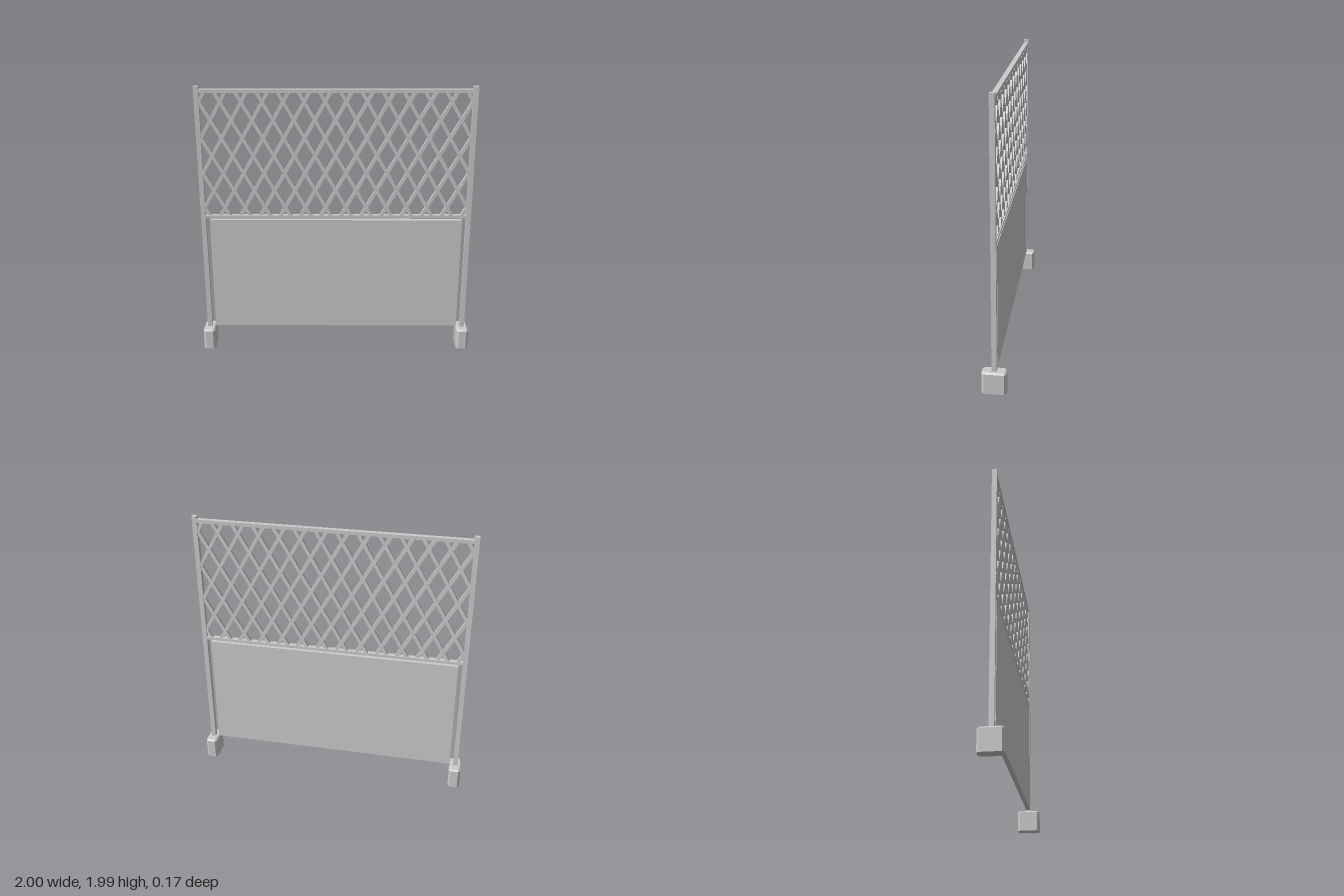
import * as THREE from 'three';

const material = new THREE.MeshStandardMaterial({ color: 0xcccccc, flatShading: true });

export function createModel() {
  const group = new THREE.Group();
  group.name = 'trellisFence';

  function add(name, geometry, x, y, z = 0, parent = group) {
    const mesh = new THREE.Mesh(geometry, material);
    mesh.name = name;
    mesh.position.set(x, y, z);
    parent.add(mesh);
    return mesh;
  }

  // Foot block with chamfered uprights and top rim, sharp at the ground
  function footGeometry(w, h, d, c) {
    const x = w / 2 - c, z = d / 2 - c;
    const shape = new THREE.Shape([
      new THREE.Vector2(-x, -z + c), new THREE.Vector2(-x + c, -z),
      new THREE.Vector2(x - c, -z), new THREE.Vector2(x, -z + c),
      new THREE.Vector2(x, z - c), new THREE.Vector2(x - c, z),
      new THREE.Vector2(-x + c, z), new THREE.Vector2(-x, z - c),
    ]);
    const g = new THREE.ExtrudeGeometry(shape, {
      depth: h - c, bevelEnabled: true, bevelThickness: c, bevelSize: c, bevelSegments: 1,
    });
    g.rotateX(-Math.PI / 2);
    const p = g.attributes.position;
    for (let i = 0; i < p.count; i++) p.setY(i, Math.max(0, p.getY(i)));
    g.computeVertexNormals();
    return g;
  }

  // Posts and feet
  const foot = footGeometry(0.087, 0.155, 0.166, 0.01);
  const post = new THREE.BoxGeometry(0.034, 1.84, 0.034);
  for (const [side, s] of [['left', 1], ['right', -1]]) {
    add(side + 'Foot', foot, s * 0.956, 0);
    add(side + 'Post', post, s * 0.957, 1.07);
  }

  // Rails framing the trellis, and the solid lower panel
  add('topRail', new THREE.BoxGeometry(1.89, 0.025, 0.033), 0, 1.956);
  add('middleRail', new THREE.BoxGeometry(1.89, 0.02, 0.033), 0, 1.044);
  add('lowerPanel', new THREE.BoxGeometry(1.824, 0.855, 0.032), 0, 0.5905);

  // Diagonal slats, clipped to the frame opening
  const trellis = new THREE.Group();
  trellis.name = 'trellis';
  group.add(trellis);
  const pitch = 0.145, slope = 0.128 / (pitch / 2), yMid = 1.497;
  const xMax = 0.952, yLow = 1.046, yHigh = 1.954;
  for (const s of [1, -1]) {
    for (let k = -9; k <= 9; k++) {
      const x0 = k * pitch;
      const ends = [yLow, yHigh].map((y) => x0 + (s * (y - yMid)) / slope);
      const xa = Math.max(-xMax, Math.min(...ends));
      const xb = Math.min(xMax, Math.max(...ends));
      if (xb - xa < 0.02) continue;
      const length = (xb - xa) * Math.hypot(1, slope);
      const x = (xa + xb) / 2;
      const slat = add(s > 0 ? 'risingSlat' : 'fallingSlat',
        new THREE.BoxGeometry(length, 0.024, 0.022), x, yMid + s * slope * (x - x0), 0, trellis);
      slat.rotation.z = s * Math.atan(slope);
    }
  }
  return group;
}
